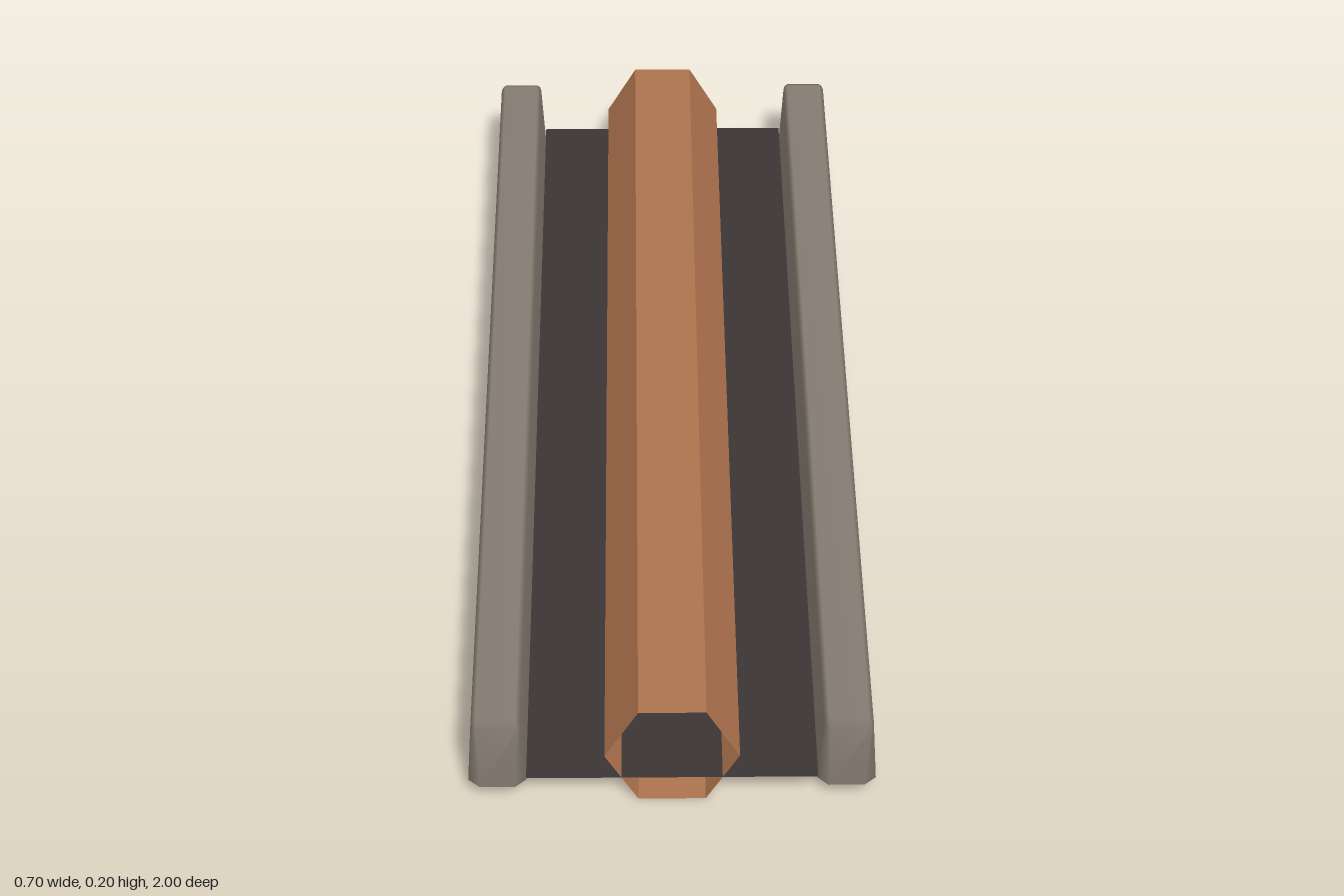
import * as THREE from 'three';

const material = (name, color) =>
  new THREE.MeshStandardMaterial({ name, color, side: THREE.DoubleSide });

// Open-bottomed bevelled bar running along z, lofted from four cross-sections
function railGeometry() {
  const body = [[-0.05, 0.03], [-0.042, 0.16], [-0.034, 0.17], [0.034, 0.17], [0.042, 0.16], [0.05, 0.03]];
  const end = [[-0.03, 0.03], [-0.039, 0.157], [-0.033, 0.162], [0.033, 0.162], [0.039, 0.157], [0.03, 0.03]];
  const shoulder = 0.982;
  const rings = [[end, 1], [body, shoulder], [body, -shoulder], [end, -1]];
  const n = body.length;
  const positions = [];
  const index = [];
  for (const [ring, z] of rings) {
    for (const [x, y] of ring) positions.push(x, y, z);
  }

  // Walls and bevels
  for (let r = 0; r < rings.length - 1; r++) {
    for (let i = 0; i < n - 1; i++) {
      const a = r * n + i, b = a + 1, c = a + n, d = c + 1;
      index.push(a, b, c, b, d, c);
    }
  }

  // End faces
  const last = 3 * n;
  for (let i = 1; i < n - 1; i++) {
    index.push(0, i + 1, i);
    index.push(last, last + i, last + i + 1);
  }

  // Small pointed corner pieces below each end
  for (const sz of [1, -1]) {
    for (const sx of [1, -1]) {
      const i = sx > 0 ? n - 1 : 0;
      const outer = (sz > 0 ? n : 2 * n) + i;
      const inner = (sz > 0 ? 0 : last) + i;
      const tip = positions.length / 3;
      positions.push(sx * 0.03, 0.012, sz * shoulder);
      if (sx * sz > 0) index.push(outer, inner, tip);
      else index.push(inner, outer, tip);
    }
  }

  const geometry = new THREE.BufferGeometry();
  geometry.setAttribute('position', new THREE.Float32BufferAttribute(positions, 3));
  geometry.setIndex(index);
  geometry.computeVertexNormals();
  return geometry;
}

export function createModel() {
  const model = new THREE.Group();
  model.name = 'railSection';
  const brown = material('brown', 0xad734d);
  brown.flatShading = true;
  const grey = material('warmGrey', 0x847b71);
  const dark = material('darkGrey', 0x3c3536);

  const add = (name, geometry, mat, x, y) => {
    const mesh = new THREE.Mesh(geometry, mat);
    mesh.name = name;
    mesh.position.set(x, y, 0);
    model.add(mesh);
  };

  // Open hexagonal tube with flat top and bottom
  const radius = 0.1 / Math.cos(Math.PI / 6);
  const tube = new THREE.CylinderGeometry(radius, radius, 2, 6, 1, true, Math.PI / 6);
  tube.rotateX(Math.PI / 2);
  add('hexagonalTube', tube, brown, 0, 0.1);

  // Thin floor sheet cutting through the lower half of the tube
  add('floorSheet', new THREE.PlaneGeometry(0.5, 2).rotateX(-Math.PI / 2), dark, 0, 0.05);

  // Side rails
  const rail = railGeometry();
  add('leftRail', rail, grey, 0.3, 0);
  add('rightRail', rail, grey, -0.3, 0);
  return model;
}
